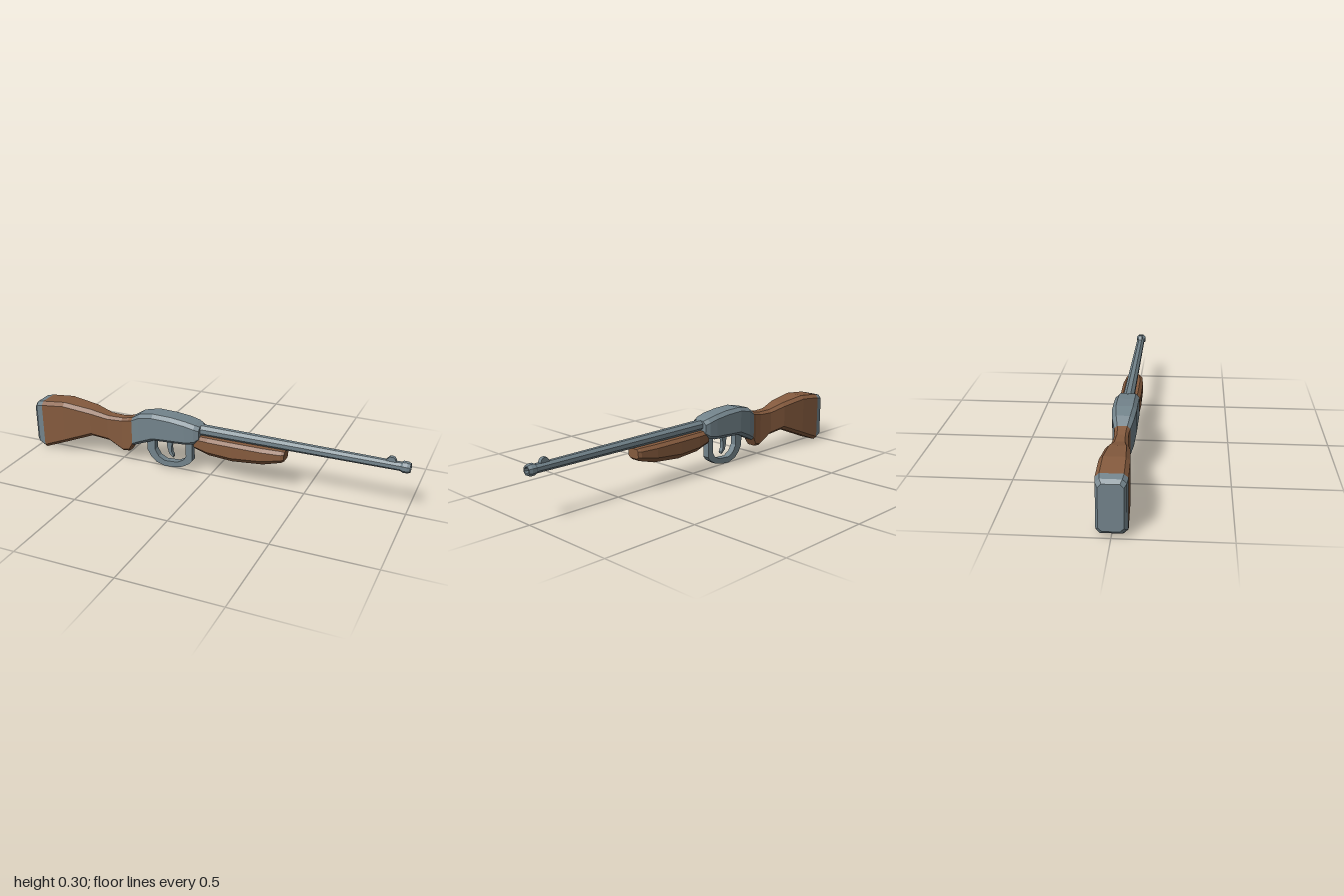
import * as THREE from 'three';

const steel = new THREE.MeshStandardMaterial({ color: 0x73848c, flatShading: true });
steel.name = 'steel';
const wood = new THREE.MeshStandardMaterial({ color: 0x855b3e, flatShading: true });
wood.name = 'wood';

// Bevelled box section: bottom, top, half width, top bevel, bottom bevel
function section([x, y0, y1, w, ct = 0.018, cb = ct]) {
  return [
    [x, y0 + cb, -w], [x, y1 - ct, -w], [x, y1, -w + ct], [x, y1, w - ct],
    [x, y1 - ct, w], [x, y0 + cb, w], [x, y0, w - cb], [x, y0, -w + cb],
  ];
}

// Loft bevelled sections along x, with both ends capped
function loft(name, stations, material) {
  const rings = stations.map(section);
  const pos = [];
  const tri = (a, b, c) => pos.push(...a, ...b, ...c);
  for (let s = 0; s < rings.length - 1; s++) {
    const a = rings[s], b = rings[s + 1];
    for (let i = 0; i < 8; i++) {
      const j = (i + 1) % 8;
      tri(a[i], a[j], b[j]);
      tri(a[i], b[j], b[i]);
    }
  }
  const first = rings[0], last = rings[rings.length - 1];
  for (let i = 1; i < 7; i++) {
    tri(first[0], first[i + 1], first[i]);
    tri(last[0], last[i], last[i + 1]);
  }
  const g = new THREE.BufferGeometry();
  g.setAttribute('position', new THREE.Float32BufferAttribute(pos, 3));
  g.computeVertexNormals();
  return named(name, g, material);
}

function named(name, geometry, material) {
  const m = new THREE.Mesh(geometry, material);
  m.name = name;
  return m;
}

// Flat side profile extruded symmetrically across z
function plate(name, outline, depth, hole) {
  const shape = new THREE.Shape(outline.map(p => new THREE.Vector2(...p)));
  if (hole) shape.holes.push(new THREE.Path(hole.map(p => new THREE.Vector2(...p))));
  const g = new THREE.ExtrudeGeometry(shape, { depth, bevelEnabled: false });
  g.translate(0, 0, -depth / 2);
  return named(name, g, steel);
}

export function createModel() {
  const model = new THREE.Group();
  model.name = 'longGun';

  // Butt plate, stock and receiver share their joining sections
  const buttJoin = [-0.95, 0.004, 0.27, 0.068];
  const wristJoin = [-0.428, 0.1, 0.257, 0.037, 0.014];
  model.add(loft('buttPlate', [
    [-1, 0.035, 0.246, 0.053, 0.016],
    [-0.985, 0.02, 0.262, 0.064],
    buttJoin,
  ], steel));
  model.add(loft('stock', [
    buttJoin,
    [-0.82, 0.056, 0.284, 0.066],
    [-0.665, 0.117, 0.266, 0.055],
    [-0.57, 0.102, 0.242, 0.038, 0.015],
    [-0.49, 0.056, 0.242, 0.032, 0.013],
    [-0.45, 0.062, 0.25, 0.033, 0.013],
    wristJoin,
  ], wood));
  model.add(loft('receiver', [
    wristJoin,
    [-0.38, 0.122, 0.288, 0.05],
    [-0.3, 0.157, 0.305, 0.058],
    [-0.2, 0.163, 0.303, 0.058],
    [-0.12, 0.168, 0.294, 0.058],
    [-0.07, 0.178, 0.283, 0.055],
    [-0.045, 0.195, 0.274, 0.046],
  ], steel));

  // Wooden grip under the barrel
  model.add(loft('foreEnd', [
    [-0.075, 0.152, 0.222, 0.042, 0.015],
    [0, 0.127, 0.224, 0.051, 0.016, 0.026],
    [0.13, 0.118, 0.224, 0.053, 0.016, 0.028],
    [0.29, 0.133, 0.224, 0.052, 0.016, 0.028],
    [0.385, 0.16, 0.223, 0.042, 0.015, 0.02],
    [0.4, 0.172, 0.22, 0.034, 0.01],
  ], wood));

  // Octagonal barrel with a flared, hollow muzzle
  const profile = [
    [0, -0.1], [0.029, -0.1], [0.022, 0.94], [0.022, 0.955], [0.028, 0.965],
    [0.028, 0.985], [0.023, 1], [0.016, 1], [0.014, 0.97], [0, 0.97],
  ].map(p => new THREE.Vector2(...p));
  const barrelGeometry = new THREE.LatheGeometry(profile, 8, Math.PI / 8);
  barrelGeometry.rotateZ(-Math.PI / 2);
  const barrel = named('barrel', barrelGeometry, steel);
  barrel.position.y = 0.249;
  model.add(barrel);

  // Front sight
  model.add(plate('frontSight', [
    [0.87, 0.255], [0.94, 0.255], [0.925, 0.285], [0.917, 0.29], [0.9, 0.29], [0.892, 0.28],
  ], 0.02));

  // Trigger guard loop
  model.add(plate('triggerGuard', [
    [-0.35, 0.175], [-0.35, 0.09], [-0.33, 0.053], [-0.3, 0.026], [-0.25, 0.011],
    [-0.2, 0.014], [-0.15, 0.026], [-0.11, 0.05], [-0.095, 0.07], [-0.095, 0.19],
  ], 0.034, [
    [-0.305, 0.155], [-0.13, 0.163], [-0.13, 0.09], [-0.143, 0.066], [-0.18, 0.046],
    [-0.25, 0.042], [-0.285, 0.06], [-0.305, 0.095],
  ]));

  // Curved trigger
  model.add(plate('trigger', [
    [-0.24, 0.17], [-0.238, 0.12], [-0.228, 0.085], [-0.205, 0.066], [-0.203, 0.076],
    [-0.213, 0.095], [-0.214, 0.125], [-0.203, 0.17],
  ], 0.02));

  return model;
}
